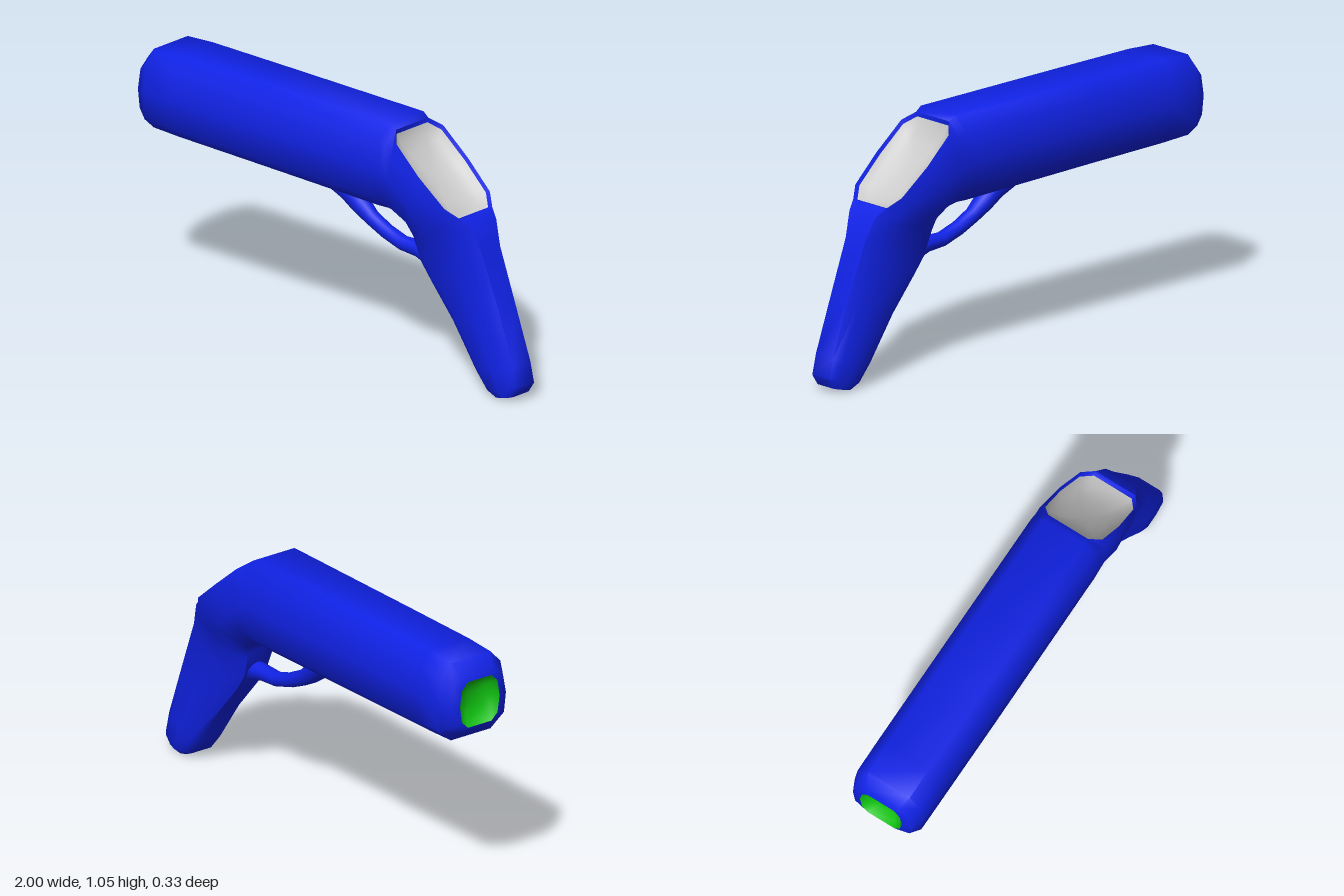
import * as THREE from 'three';
import { mergeVertices, toCreasedNormals } from 'three/addons/utils/BufferGeometryUtils.js';

const V = (x, y, z) => new THREE.Vector3(x, y, z);

// Skin a row of closed rings; skip(i, j) leaves a panel open
function loft(rings, skip = () => false, crease = 1.0) {
  const n = rings[0].length, index = [];
  for (let i = 0; i < rings.length - 1; i++)
    for (let j = 0; j < n; j++) {
      if (skip(i, j)) continue;
      const k = (j + 1) % n, a = i * n, b = a + n;
      index.push(a + j, a + k, b + k, a + j, b + k, b + j);
    }
  const g = new THREE.BufferGeometry().setFromPoints(rings.flat());
  g.setIndex(index);
  return toCreasedNormals(mergeVertices(g), crease);
}

// Rings shrinking from an outline: each step is [scale, depth along the inward direction]
function inset(outline, inward, steps) {
  const c = V(0, 0, 0);
  outline.forEach(p => c.addScaledVector(p, 1 / outline.length));
  return steps.map(([s, d]) => outline.map(p =>
    p.clone().sub(c).multiplyScalar(s).add(c).addScaledVector(inward, d)));
}

// Body sections: lower point x, y; upper point x, y; half-widths from upper to lower edge
const SECTIONS = [
  [-1.00, 0.77, -1.00, 0.97, 0.06, 0.09, 0.10, 0.09, 0.06],
  [-0.99, 0.75, -0.99, 0.99, 0.08, 0.125, 0.14, 0.13, 0.08],
  [-0.94, 0.705, -0.94, 1.042, 0.10, 0.15, 0.163, 0.155, 0.10],
  [-0.80, 0.70, -0.80, 1.05, 0.10, 0.15, 0.165, 0.155, 0.10],
  [-0.40, 0.695, -0.40, 1.05, 0.10, 0.15, 0.165, 0.155, 0.10],
  [0.28, 0.68, 0.35, 1.048, 0.10, 0.15, 0.165, 0.15, 0.09],
  [0.33, 0.68, 0.38, 1.03, 0.095, 0.15, 0.165, 0.15, 0.085],
  [0.37, 0.67, 0.42, 0.995, 0.14, 0.157, 0.165, 0.145, 0.08],
  [0.43, 0.63, 0.55, 0.885, 0.147, 0.158, 0.163, 0.12, 0.075],
  [0.445, 0.585, 0.68, 0.778, 0.135, 0.145, 0.142, 0.10, 0.065],
  [0.455, 0.55, 0.73, 0.735, 0.095, 0.125, 0.122, 0.09, 0.06],
  [0.48, 0.48, 0.77, 0.70, 0.075, 0.105, 0.10, 0.08, 0.055],
  [0.53, 0.41, 0.81, 0.60, 0.055, 0.078, 0.078, 0.075, 0.05],
  [0.65, 0.27, 0.90, 0.37, 0.05, 0.073, 0.075, 0.073, 0.05],
  [0.775, 0.09, 0.98, 0.15, 0.05, 0.073, 0.075, 0.073, 0.05],
  [0.835, 0.02, 1.00, 0.065, 0.05, 0.07, 0.073, 0.07, 0.05],
].concat([[0.88, 0, 0.975, 0.022, 0.045, 0.06, 0.064, 0.06, 0.045]]);
const DROP = [0, 0.16, 0.5, 0.85, 1];
const SCREEN = [6, 10]; // sections the screen opening spans

function bodyRing([ax, ay, bx, by, ...w]) {
  const side = DROP.map((u, k) => V(bx + (ax - bx) * u, by + (ay - by) * u, w[k]));
  const mirror = side.map(p => V(p.x, p.y, -p.z)).reverse();
  return [...side, ...mirror];
}

// Guard stations: x, y, radius
const GUARD = [
  [-0.40, 0.745, 0.03], [-0.22, 0.73, 0.042], [-0.08, 0.71, 0.047], [0.04, 0.665, 0.05],
  [0.10, 0.615, 0.042], [0.16, 0.573, 0.033], [0.24, 0.535, 0.031], [0.33, 0.507, 0.031],
  [0.42, 0.505, 0.035], [0.52, 0.49, 0.05],
];

function guardRings(sides = 10) {
  return GUARD.map(([x, y, r], i) => {
    const a = GUARD[Math.max(i - 1, 0)], b = GUARD[Math.min(i + 1, GUARD.length - 1)];
    const t = new THREE.Vector2(b[0] - a[0], b[1] - a[1]).normalize();
    return Array.from({ length: sides }, (_, j) => {
      const q = j / sides * Math.PI * 2, c = Math.cos(q) * r;
      return V(x - t.y * c, y + t.x * c, Math.sin(q) * r);
    });
  });
}

export function createModel() {
  const group = new THREE.Group();
  const mat = color => new THREE.MeshStandardMaterial({ color });
  const blue = mat(0x1022e6), green = mat(0x10c010), grey = mat(0xcccccc);
  const add = (name, geometry, material) => {
    const mesh = new THREE.Mesh(geometry, material);
    mesh.name = name;
    group.add(mesh);
  };

  // Barrel and grip in one skin, open at the muzzle and the sloping rear face
  const rings = SECTIONS.map(bodyRing);
  const [s0, s1] = SCREEN;
  add('body', loft(rings, (i, j) => j === 9 && i >= s0 && i < s1), blue);

  // Grip end
  add('gripEnd', loft(inset(rings[rings.length - 1], V(0, 0, 0), [[1, 0], [0, 0]])), blue);

  // Trigger guard, blending into the underside of the barrel
  add('triggerGuard', loft(guardRings(), undefined, 1.3), blue);

  // Recessed rear screen with its lip
  const span = rings.slice(s0, s1 + 1);
  const outline = [...span.map(r => r[0]), ...span.map(r => r[9]).reverse()];
  const inward = V(-0.64, -0.77, 0);
  add('screenLip', loft(inset(outline, inward, [[1, 0], [0.95, 0.015]])), blue);
  add('screen', loft(inset(outline, inward,
    [[0.95, 0.015], [0.8, 0.04], [0.55, 0.058], [0.28, 0.066], [0, 0.068]])), grey);

  // Hollow lens in the muzzle
  const muzzle = [...rings[0]].reverse();
  add('lens', loft(inset(muzzle, V(1, 0, 0),
    [[1, 0], [0.85, 0.025], [0.6, 0.045], [0.3, 0.053], [0, 0.055]])), green);

  return group;
}
